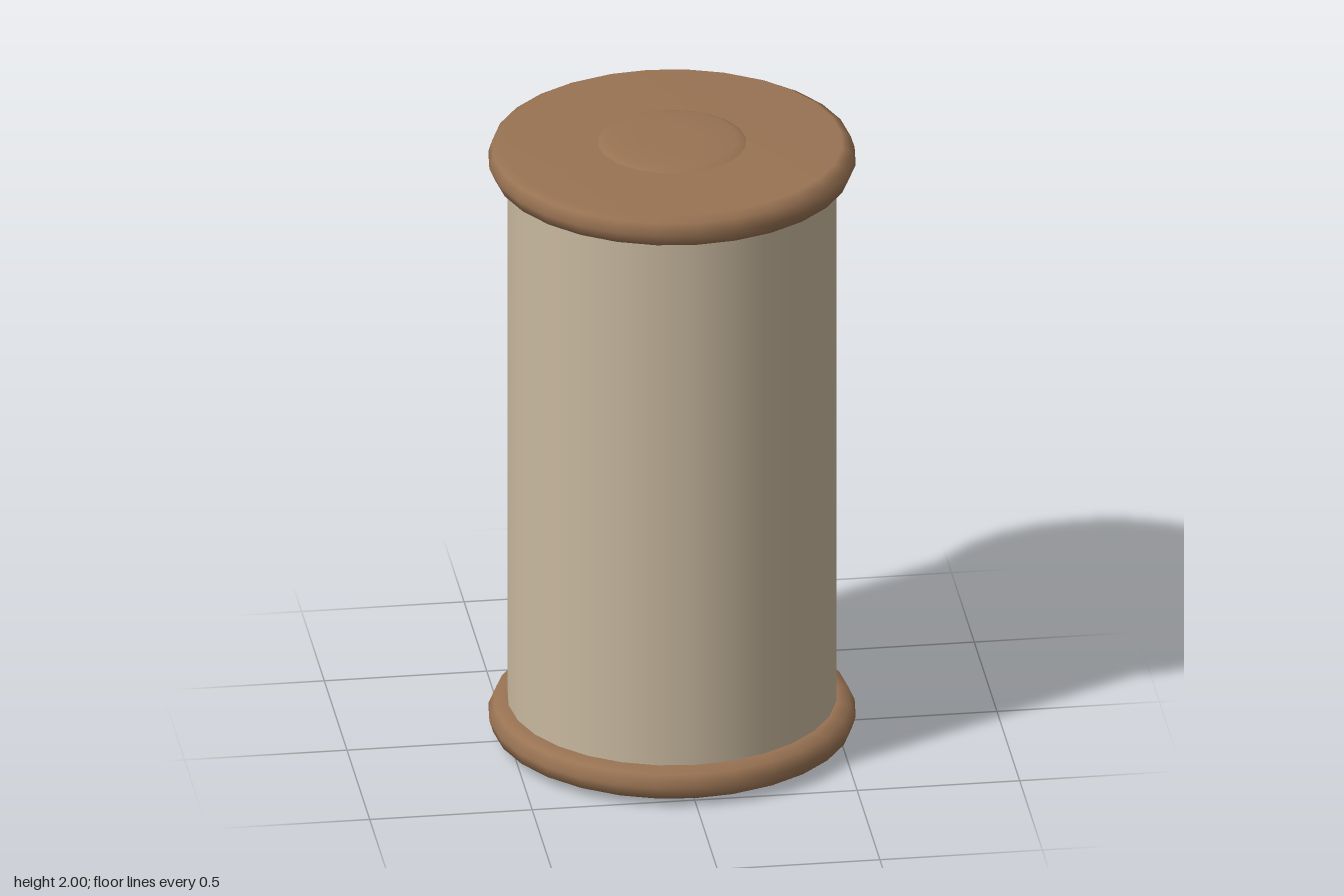
import * as THREE from 'three';

const SIDES = 28;

// Smooth lathe from [radius, height] pairs, listed from bottom to top
function turned(name, points, sides, material) {
  const profile = points.map(([r, y]) => new THREE.Vector2(r, y));
  // Start the first side on the +x axis
  const geometry = new THREE.LatheGeometry(profile, sides, Math.PI / 2);
  const mesh = new THREE.Mesh(geometry, material);
  mesh.name = name;
  return mesh;
}

// Rounded end disc with a shallow raised hub on its outer face
function createEndCap(name, material) {
  const cap = new THREE.Group();
  cap.name = name;
  cap.add(turned('endDisc', [
    [0, -0.12], [0.505, -0.12], [0.545, -0.108], [0.562, -0.07],
    [0.55, -0.032], [0.52, -0.016], [0, -0.014],
  ], SIDES, material));
  cap.add(turned('hub', [[0.23, -0.016], [0.2, -0.003], [0.1, 0], [0, 0]], 20, material));
  return cap;
}

export function createModel() {
  const wood = new THREE.MeshStandardMaterial({ name: 'brown wood', color: 0x997353 });
  const paper = new THREE.MeshStandardMaterial({ name: 'cream wrap', color: 0xc8b89f });

  const model = new THREE.Group();
  model.name = 'spool';

  // Wrapped body between the two end caps
  const body = new THREE.Mesh(
    new THREE.CylinderGeometry(0.503, 0.503, 1.78, SIDES, 1, true), paper);
  body.name = 'body';
  body.position.y = 1;
  body.rotation.y = Math.PI / 2;
  model.add(body);

  // Matching caps, the lower one turned upside down
  const topCap = createEndCap('topCap', wood);
  topCap.position.y = 2;
  const bottomCap = createEndCap('bottomCap', wood);
  bottomCap.rotation.x = Math.PI;
  model.add(topCap, bottomCap);
  return model;
}
